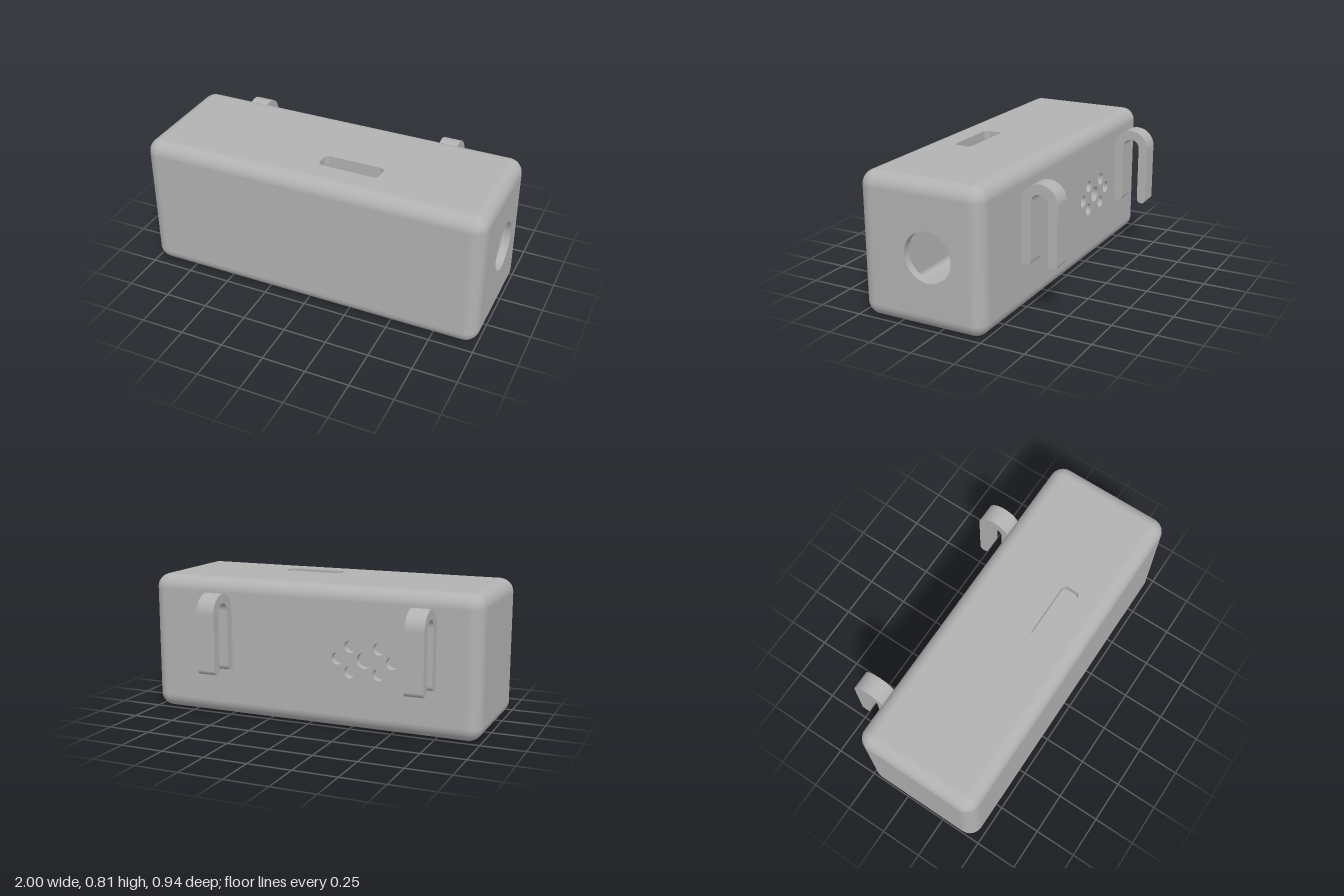
import * as THREE from 'three';
import { RoundedBoxGeometry } from 'three/addons/geometries/RoundedBoxGeometry.js';

const W = 2, H = 0.807, D = 0.734; // body size
const R = 0.08, T = 0.045; // outer edge radius, wall thickness

// Rounded edges and corners of a box, without its six flat faces
function roundedEdges(w, h, d, r, inward) {
  const src = new RoundedBoxGeometry(w, h, d, 6, r);
  const p = src.attributes.position, n = src.attributes.normal;
  const pos = [], nor = [];
  const v = [0, 1, 2].map(() => new THREE.Vector3());
  const s = inward ? -1 : 1;
  for (let i = 0; i < p.count; i += 3) {
    v.forEach((q, k) => q.fromBufferAttribute(n, i + k));
    if (v[0].distanceTo(v[1]) < 1e-3 && v[0].distanceTo(v[2]) < 1e-3) continue;
    for (const k of inward ? [0, 2, 1] : [0, 1, 2]) {
      pos.push(p.getX(i + k), p.getY(i + k), p.getZ(i + k));
      nor.push(s * v[k].x, s * v[k].y, s * v[k].z);
    }
  }
  const g = new THREE.BufferGeometry();
  g.setAttribute('position', new THREE.Float32BufferAttribute(pos, 3));
  g.setAttribute('normal', new THREE.Float32BufferAttribute(nor, 3));
  return g;
}

function roundHole(x, y, r) {
  return new THREE.Path().absarc(x, y, r, 0, Math.PI * 2, true);
}

function slotHole(x0, y0, x1, y1, r) {
  const s = new THREE.Path();
  s.absarc(x1 - r, y1 - r, r, 0, Math.PI / 2, false);
  s.absarc(x0 + r, y1 - r, r, Math.PI / 2, Math.PI, false);
  s.absarc(x0 + r, y0 + r, r, Math.PI, Math.PI * 1.5, false);
  s.absarc(x1 - r, y0 + r, r, Math.PI * 1.5, Math.PI * 2, false);
  s.closePath();
  return s;
}

// Flat wall lying between the rounded edges, facing +z before rotation
function wall(w, h, half, holes) {
  const a = w / 2 - R, b = h / 2 - R;
  const s = new THREE.Shape([[-a, -b], [a, -b], [a, b], [-a, b]].map(([x, y]) => new THREE.Vector2(x, y)));
  s.holes.push(...holes);
  return new THREE.ExtrudeGeometry(s, { depth: T, bevelEnabled: false, curveSegments: 32 })
    .translate(0, 0, half - T);
}

// Inverted U clip; shape x runs away from the back wall
function hookGeometry(width) {
  const t = 0.055, ro = 0.105, top = 0.632, low = 0.283, c = 0.028;
  const s = new THREE.Shape();
  s.moveTo(-0.004, low);
  s.lineTo(t - c, low);
  s.absarc(t - c, low + c, c, -Math.PI / 2, 0, false);
  s.lineTo(t, top);
  s.absarc(ro, top, ro - t, Math.PI, 0, true);
  s.lineTo(2 * ro - t, low + t / 2);
  s.absarc(2 * ro - t / 2, low + t / 2, t / 2, Math.PI, Math.PI * 2, false);
  s.lineTo(2 * ro, top);
  s.absarc(ro, top, ro, 0, Math.PI, false);
  s.lineTo(-0.004, top);
  s.closePath();
  return new THREE.ExtrudeGeometry(s, { depth: width, bevelEnabled: false, curveSegments: 24 })
    .translate(0, 0, -width / 2).rotateY(Math.PI / 2);
}

export function createModel() {
  const model = new THREE.Group();
  const grey = new THREE.MeshStandardMaterial({ color: 0xb2b2b2 });
  grey.name = 'grey';
  const add = (parent, name, geometry) => {
    const m = new THREE.Mesh(geometry, grey);
    m.name = name;
    parent.add(m);
    return m;
  };

  // Hollow body
  const body = new THREE.Group();
  body.name = 'body';
  body.position.set(0, H / 2, 0.105);
  model.add(body);
  add(body, 'outerEdges', roundedEdges(W, H, D, R, false));
  add(body, 'innerEdges', roundedEdges(W - 2 * T, H - 2 * T, D - 2 * T, R - T, true));

  // Speaker holes: one large, six small
  const gx = 0.343;
  const grille = [roundHole(gx, 0, 0.046)];
  for (const sx of [-1, 1]) {
    grille.push(roundHole(gx + sx * 0.16, 0, 0.035));
    for (const sy of [-1, 1]) grille.push(roundHole(gx + sx * 0.085, sy * 0.072, 0.035));
  }

  // Walls
  const q = Math.PI / 2;
  add(body, 'frontWall', wall(W, H, D / 2, []));
  add(body, 'backWall', wall(W, H, D / 2, grille)).rotation.y = Math.PI;
  add(body, 'topWall', wall(W, D, H / 2, [slotHole(-0.005, -0.185, 0.347, -0.08, 0.03)])).rotation.x = -q;
  add(body, 'bottomWall', wall(W, D, H / 2, [])).rotation.x = q;
  add(body, 'portWall', wall(D, H, W / 2, [roundHole(0.052, 0, 0.14)])).rotation.y = q;
  add(body, 'plainEndWall', wall(D, H, W / 2, [])).rotation.y = -q;

  // Hanging hooks on the back
  const hook = hookGeometry(0.108);
  for (const x of [-0.697, 0.53]) add(model, 'hook', hook).position.set(x, 0, -0.262);

  return model;
}
